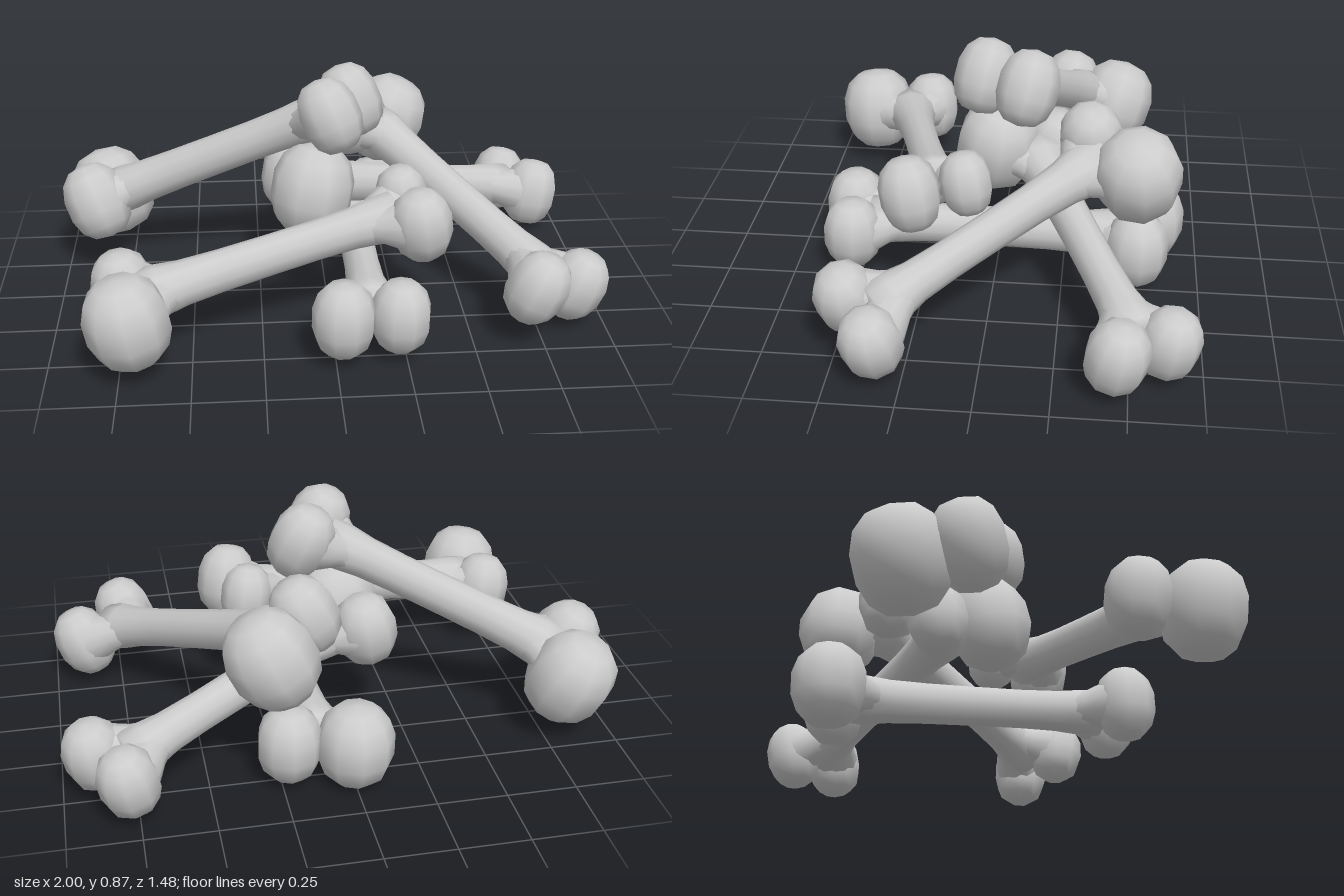
import * as THREE from 'three';

const material = new THREE.MeshStandardMaterial({ color: 0xcccccc });
const vec = (a) => new THREE.Vector3(a[0], a[1], a[2]);

// Rounded knob: a coarse, slightly boxy ellipsoid, longest across the thickness of the bone
function knob(name, centre, r, along, across, thick, stretch) {
  const geo = new THREE.SphereGeometry(1, 9, 7);
  const pos = geo.attributes.position;
  for (let i = 0; i < pos.count; i++) {
    const x = pos.getX(i), y = pos.getY(i), z = pos.getZ(i);
    const ring = Math.hypot(x, z);
    const swell = ring > 0.01 ? Math.pow(ring, -0.2) : 1;
    pos.setXYZ(i, x * swell, Math.sign(y) * Math.pow(Math.abs(y), 0.88), z * swell);
  }
  geo.scale(r, r * stretch, r);
  const mesh = new THREE.Mesh(geo, material);
  mesh.name = name;
  mesh.quaternion.setFromRotationMatrix(new THREE.Matrix4().makeBasis(along, thick, across));
  mesh.position.copy(centre);
  return mesh;
}

// Fork: a rounded neck swelling from the shaft into one knob
function fork(from, to, r) {
  const dir = to.clone().sub(from);
  const len = dir.length();
  const profile = [[0.05, 0], [0.062, 0.15], [0.068, 0.4], [r * 0.88, 0.7], [r, 1]];
  const geo = new THREE.LatheGeometry(profile.map(([w, t]) => new THREE.Vector2(w, t * len)), 12);
  const mesh = new THREE.Mesh(geo, material);
  mesh.name = 'fork';
  mesh.position.copy(from);
  mesh.quaternion.setFromUnitVectors(new THREE.Vector3(0, 1, 0), dir.normalize());
  return mesh;
}

// Shaft: elliptical rings from start to end, flaring towards the knobs.
// Each station is [position 0..1, half width, half thickness]
const STATIONS = [
  [0, 0.02, 0.02], [0.01, 0.105, 0.09], [0.09, 0.102, 0.09], [0.18, 0.08, 0.081],
  [0.32, 0.069, 0.077], [0.5, 0.066, 0.075], [0.68, 0.066, 0.074], [0.82, 0.072, 0.077],
  [0.91, 0.092, 0.084], [0.985, 0.1, 0.086], [1, 0.02, 0.02],
];
function shaft(start, end, acrossA, acrossB, axis) {
  const sides = 12, pos = [], index = [];
  STATIONS.forEach(([t, w, h], i) => {
    const c = start.clone().lerp(end, t);
    const across = acrossA.clone().lerp(acrossB, t).normalize();
    const thick = new THREE.Vector3().crossVectors(axis, across).normalize();
    for (let j = 0; j < sides; j++) {
      const a = (j / sides) * Math.PI * 2;
      const p = c.clone().addScaledVector(across, w * Math.cos(a)).addScaledVector(thick, h * Math.sin(a));
      pos.push(p.x, p.y, p.z);
      if (i === 0) continue;
      const k = (j + 1) % sides, lo = (i - 1) * sides, hi = i * sides;
      index.push(lo + j, lo + k, hi + j, lo + k, hi + k, hi + j);
    }
  });
  // closing discs
  const last = (STATIONS.length - 1) * sides;
  for (let j = 1; j < sides - 1; j++) {
    index.push(0, j + 1, j, last, last + j, last + j + 1);
  }
  const geo = new THREE.BufferGeometry();
  geo.setAttribute('position', new THREE.Float32BufferAttribute(pos, 3));
  geo.setIndex(index);
  geo.computeVertexNormals();
  const mesh = new THREE.Mesh(geo, material);
  mesh.name = 'shaft';
  return mesh;
}

// One bone: a pair of knobs at the thick end and a pair at the thin end, as [x, y, z, radius]
function bone(name, thickEnd, thinEnd) {
  const group = new THREE.Group();
  group.name = name;
  const [a, b] = thickEnd.map(vec), [c, d] = thinEnd.map(vec);
  const start = a.clone().lerp(b, 0.58), end = c.clone().lerp(d, 0.5);
  const axis = end.clone().sub(start).normalize();
  const frame = (p, q) => {
    const across = q.clone().sub(p);
    return across.addScaledVector(axis, -across.dot(axis)).normalize();
  };
  const acrossA = frame(a, b), acrossB = frame(c, d);
  if (acrossA.dot(acrossB) < 0) acrossB.negate();
  // necks branch off inside the shaft
  const rootA = start.clone().addScaledVector(axis, 0.19);
  const rootB = end.clone().addScaledVector(axis, -0.2);
  const add = (label, p, r, across, stretch, root) => {
    const thick = new THREE.Vector3().crossVectors(across, axis).normalize();
    group.add(knob(label, p, r, axis, across, thick, stretch));
    group.add(fork(root, p, Math.min(r * 0.93, 0.108)));
  };
  add('largeKnob', a, thickEnd[0][3], acrossA, 1.12, rootA);
  add('largeEndSmallKnob', b, thickEnd[1][3], acrossA, 1.22, rootA);
  add('smallEndKnobA', c, thinEnd[0][3], acrossB, 1.24, rootB);
  add('smallEndKnobB', d, thinEnd[1][3], acrossB, 1.24, rootB);
  // the shaft stops short of the cleft between the knobs
  start.addScaledVector(axis, 0.03);
  end.addScaledVector(axis, -0.05);
  group.add(shaft(start, end, acrossA, acrossB, axis));
  return group;
}

export function createModel() {
  const model = new THREE.Group();
  model.name = 'bonePile';
  model.add(
    bone('topBone',
      [[-0.83, 0.25, -0.42, 0.157], [-0.872, 0.30, -0.22, 0.123]],
      [[0.1, 0.735, -0.11, 0.113], [0.012, 0.737, 0.05, 0.113]]),
    bone('frontBone',
      [[-0.71, 0.23, 0.588, 0.15], [-0.735, 0.24, 0.36, 0.113]],
      [[0.322, 0.41, 0.29, 0.112], [0.272, 0.435, 0.095, 0.096]]),
    bone('bottomBone',
      [[-0.005, 0.16, -0.56, 0.138], [0.22, 0.165, -0.52, 0.116]],
      [[0.025, 0.185, 0.545, 0.113], [0.225, 0.18, 0.525, 0.108]]),
    bone('leaningBone',
      [[0.275, 0.5, -0.51, 0.158], [0.13, 0.565, -0.34, 0.117]],
      [[0.883, 0.175, 0.34, 0.109], [0.715, 0.23, 0.452, 0.11]]),
    bone('backBone',
      [[-0.05, 0.43, 0.01, 0.157], [-0.12, 0.405, -0.195, 0.115]],
      [[0.883, 0.17, -0.46, 0.11], [0.78, 0.16, -0.63, 0.107]]),
  );
  return model;
}
